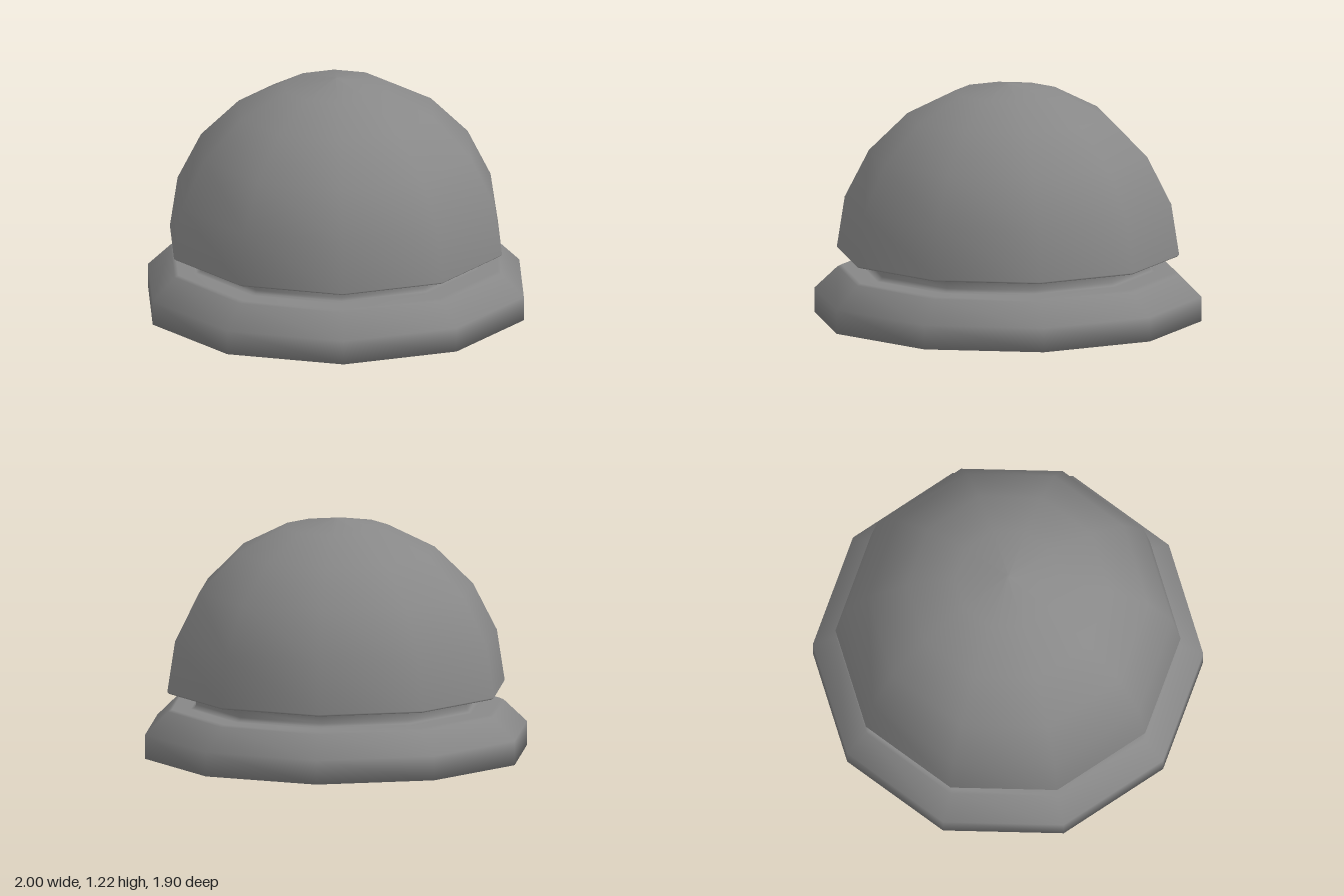
import * as THREE from 'three';

const SIDES = 10;
const material = new THREE.MeshStandardMaterial({ color: 0x888888 });

// Ten-sided turned part with a corner on the x axis; profile runs upwards as [radius, y]
function turned(name, profile) {
  const points = profile.map(([r, y]) => new THREE.Vector2(r, y));
  const mesh = new THREE.Mesh(new THREE.LatheGeometry(points, SIDES, Math.PI / 2), material);
  mesh.name = name;
  return mesh;
}

export function createModel() {
  const group = new THREE.Group();
  group.name = 'domedButton';

  // Bevelled foot, filleted groove and the flat underside of the dome
  group.add(turned('baseAndNeck', [
    [0, 0], [0.75, 0], [1, 0], [1, 0.125], [0.88, 0.24], [0.86, 0.25],
    [0.76, 0.25], [0.742, 0.256], [0.733, 0.272],
    [0.733, 0.308], [0.742, 0.325], [0.76, 0.332], [0.872, 0.332],
  ]));

  // Smooth dome; the tiny flat tip keeps the shading even at the top
  group.add(turned('dome', [
    [0.872, 0.332], [0.884, 0.342], [0.843, 0.605], [0.718, 0.85],
    [0.518, 1.048], [0.272, 1.172], [0.01, 1.215], [0, 1.215],
  ]));

  return group;
}
